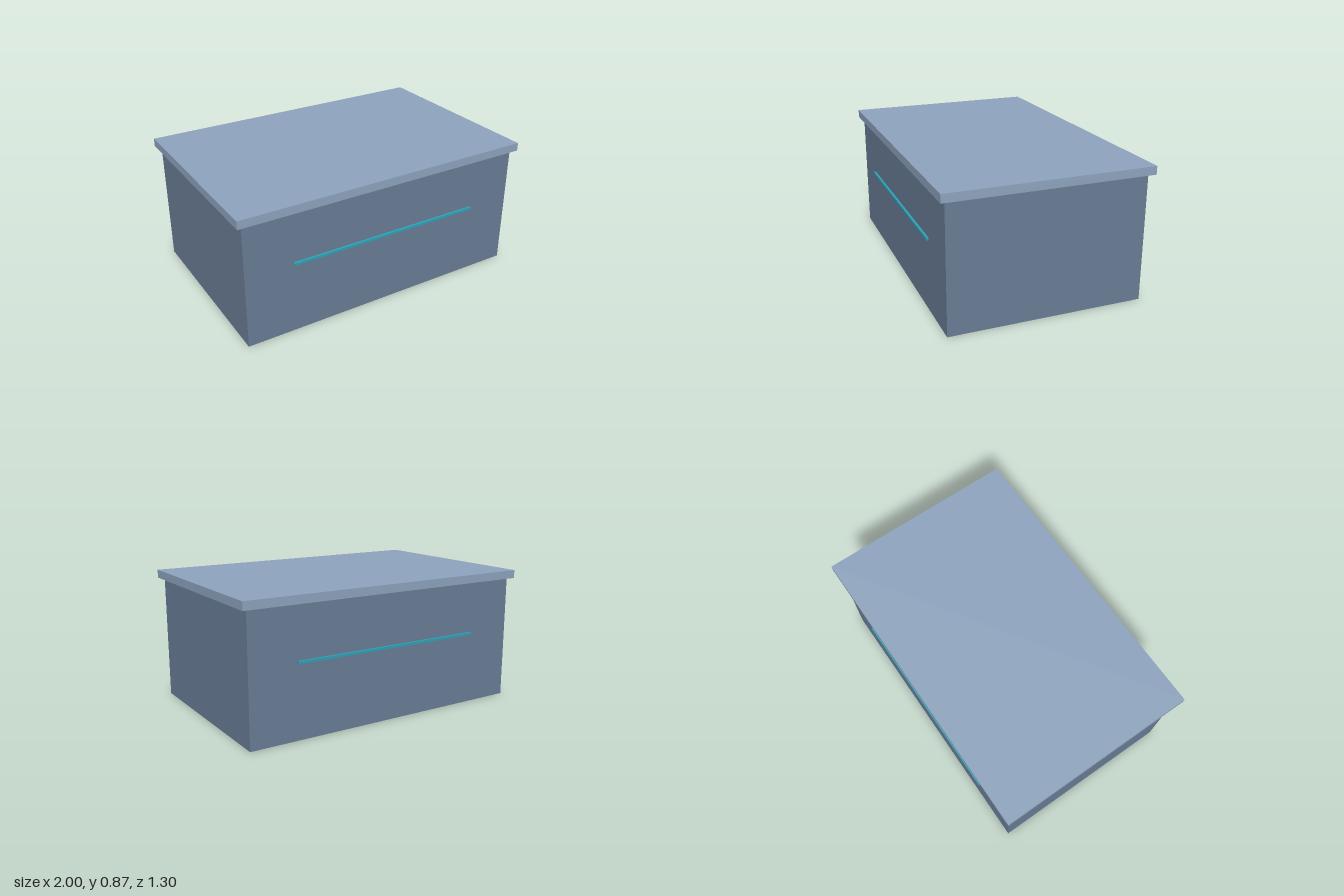
import * as THREE from 'three';

const bodyColour = new THREE.MeshStandardMaterial({ name: 'slate blue', color: 0x697d96 });
const lidColour = new THREE.MeshStandardMaterial({ name: 'pale slate', color: 0x8ea4be });
const stripColour = new THREE.MeshStandardMaterial({ name: 'teal', color: 0x2ea2b8 });

// Box given by its size and the height of its underside
function box(name, material, width, height, depth, bottom, z = 0) {
  const mesh = new THREE.Mesh(new THREE.BoxGeometry(width, height, depth), material);
  mesh.name = name;
  mesh.position.set(0, bottom + height / 2, z);
  return mesh;
}

export function createModel() {
  const model = new THREE.Group();
  model.name = 'liddedBox';

  model.add(box('body', bodyColour, 1.93, 0.812, 1.24, 0));

  // Overhanging lid
  model.add(box('lid', lidColour, 2, 0.053, 1.304, 0.812));

  // Raised trim strip on the front and the back
  for (const [name, side] of [['frontStrip', 1], ['backStrip', -1]]) {
    model.add(box(name, stripColour, 1.31, 0.016, 0.02, 0.464, side * 0.625));
  }
  return model;
}
